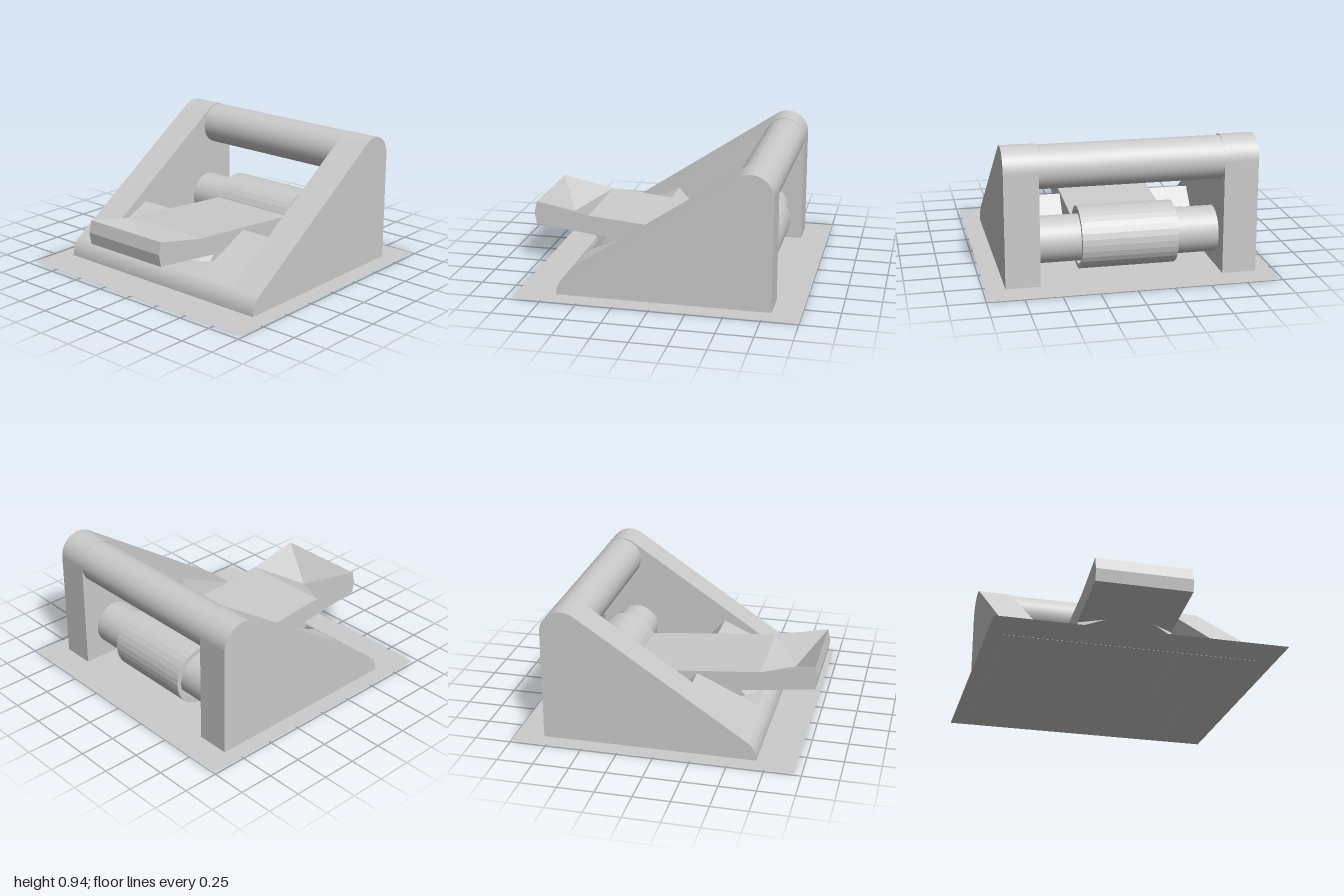
import * as THREE from 'three';
import { ConvexGeometry } from 'three/addons/geometries/ConvexGeometry.js';

const material = new THREE.MeshStandardMaterial({ color: 0xcccccc });
const flatMaterial = new THREE.MeshStandardMaterial({ color: 0xcccccc, flatShading: true });

export function createModel() {
  const group = new THREE.Group();
  const add = (name, geometry, mat = material) => {
    const mesh = new THREE.Mesh(geometry, mat);
    mesh.name = name;
    group.add(mesh);
    return mesh;
  };
  // Extrudes a (z, y) profile across x from x0 to x1
  const slab = (shape, x0, x1) =>
    new THREE.ExtrudeGeometry(shape, { depth: x1 - x0, bevelEnabled: false, curveSegments: 16 })
      .rotateY(-Math.PI / 2).translate(x1, 0, 0);
  const polygon = (points) => new THREE.Shape(points.map(([z, y]) => new THREE.Vector2(z, y)));
  const bar = (r, x0, x1, y, z) =>
    new THREE.CylinderGeometry(r, r, x1 - x0, 32).rotateZ(Math.PI / 2).translate((x0 + x1) / 2, y, z);

  const inL = -0.635, inR = 0.615;   // inner faces of the side frames
  const padL = -0.34, padR = 0.32;   // pedal width

  // Ground sheet
  const base = add('basePlate', new THREE.PlaneGeometry(1.96, 1.95).rotateX(-Math.PI / 2).translate(0, 0, -0.025),
    new THREE.MeshStandardMaterial({ color: 0xcccccc, side: THREE.DoubleSide }));
  base.position.y = 0.001;

  // Sloping side frames with a rounded top and toe
  const frame = new THREE.Shape();
  frame.moveTo(-0.8, 0);
  frame.lineTo(0.68, 0);
  frame.quadraticCurveTo(0.675, 0.085, 0.62, 0.125);
  frame.lineTo(-0.559, 0.912);
  frame.absarc(-0.645, 0.783, 0.155, 0.98, Math.PI, false);
  frame.closePath();
  add('rightFrame', slab(frame, -0.87, inL));
  add('leftFrame', slab(frame, inR, 0.85));

  // Front lip joining the frames
  const lip = new THREE.Shape();
  lip.moveTo(0.59, 0);
  lip.lineTo(0.68, 0);
  lip.quadraticCurveTo(0.675, 0.085, 0.62, 0.125);
  lip.lineTo(0.59, 0.14);
  lip.closePath();
  add('frontLip', slab(lip, inL, inR));

  // Ramps on either side of the pedal slot
  const ramp = polygon([[-0.155, 0], [0.6, 0], [0.6, 0.134], [0.155, 0.34]]);
  add('rightRamp', slab(ramp, inL, padL));
  add('leftRamp', slab(ramp, padR, inR));

  // Upper crossbar and pivot shaft
  add('topBar', bar(0.148, inL, inR, 0.785, -0.652));
  add('pivotShaft', bar(0.16, inL, inR, 0.24, -0.535));

  // Hollow sleeve around the shaft
  const sleeve = new THREE.Shape();
  sleeve.absarc(-0.535, 0.24, 0.215, 0, Math.PI * 2, false);
  const bore = new THREE.Path();
  bore.absarc(-0.535, 0.24, 0.183, 0, Math.PI * 2, true);
  sleeve.holes.push(bore);
  add('pivotSleeve', slab(sleeve, padL, padR));

  // Pedal arm
  add('pedalArm', slab(polygon([
    [-0.36, 0.12], [0.5, 0.2], [0.47, 0.245], [0.6, 0.26], [0.6, 0.395], [-0.36, 0.311],
  ]), padL, padR));

  // Tapered fin under the pedal
  const fin = [];
  for (const s of [-1, 1]) {
    fin.push(new THREE.Vector3(-0.01 + s * 0.33, 0.245, 0.47),
      new THREE.Vector3(-0.01 + s * 0.33, 0.2, 0.5),
      new THREE.Vector3(-0.01 + s * 0.17, 0.215, 0.62));
  }
  add('pedalFin', new ConvexGeometry(fin), flatMaterial);

  // Pedal pad: side outline at both ends, dished top
  const outline = [[0.6, 0.26], [0.985, 0.305], [1, 0.39], [0.98, 0.475], [0.6, 0.395]];
  const verts = [];
  for (const x of [padL, padR]) for (const [z, y] of outline) verts.push(x, y, z);
  verts.push(-0.01, 0.31, 0.8);
  const faces = [];
  for (let i = 0; i < 5; i++) {
    const j = (i + 1) % 5;
    if (i !== 3) faces.push(i, i + 5, j, j, i + 5, j + 5);
  }
  for (let i = 1; i < 4; i++) faces.push(0, i, i + 1, 5, i + 6, i + 5);
  const rim = [3, 8, 9, 4];
  rim.forEach((a, i) => faces.push(a, rim[(i + 1) % 4], 10));
  const pad = new THREE.BufferGeometry();
  pad.setAttribute('position', new THREE.Float32BufferAttribute(verts, 3));
  pad.setIndex(faces);
  const padGeometry = pad.toNonIndexed();
  padGeometry.computeVertexNormals();
  add('pedalPad', padGeometry, flatMaterial);

  return group;
}
